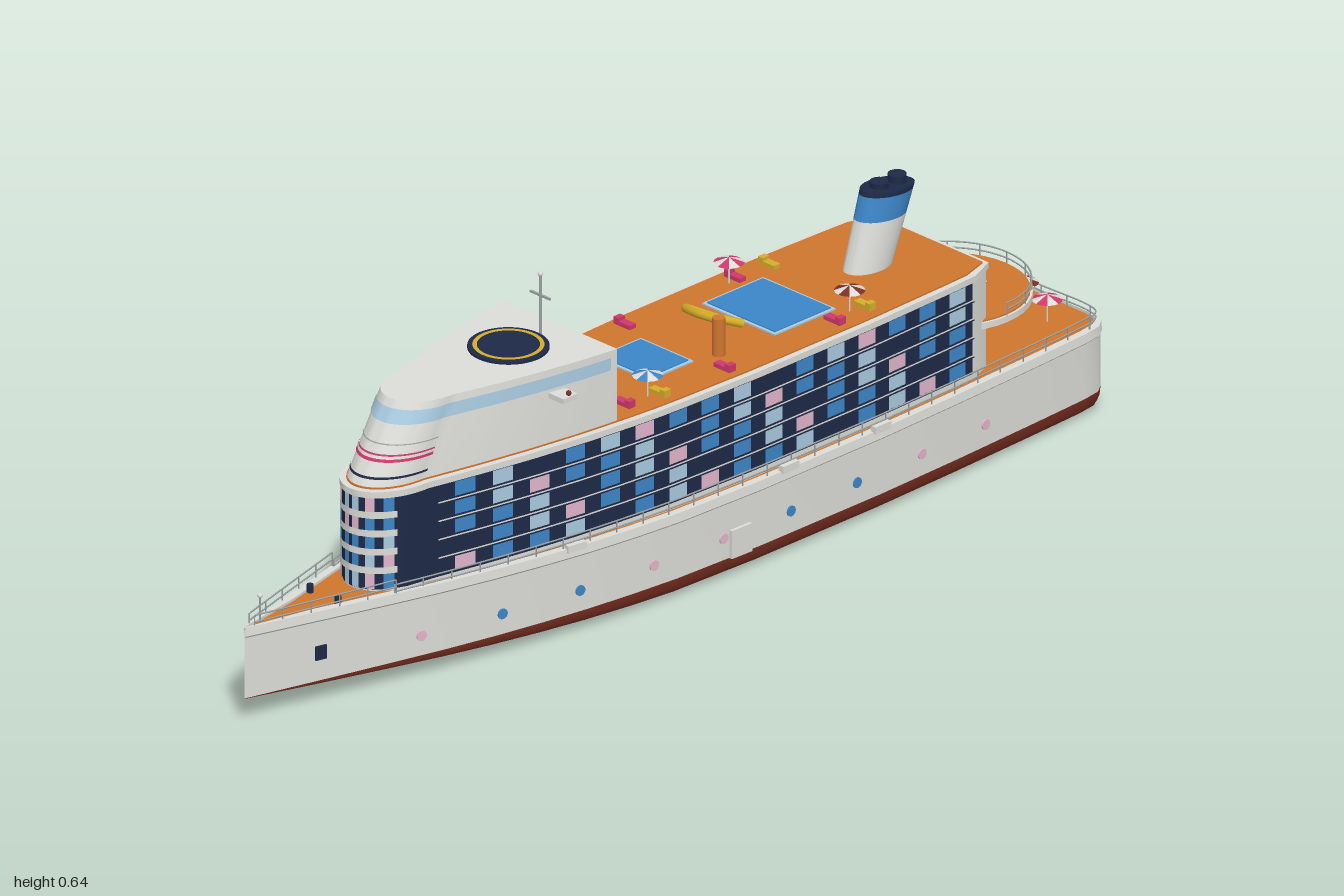
import * as THREE from 'three';
import { mergeGeometries, toCreasedNormals } from 'three/addons/utils/BufferGeometryUtils.js';

const paint = (name, color, side = THREE.FrontSide) => {
  const m = new THREE.MeshStandardMaterial({ color, side });
  m.name = name;
  return m;
};

export function createModel() {
  const ship = new THREE.Group();
  ship.name = 'cruiseShip';
  const white = paint('white', 0xdcdcd8), orange = paint('deckOrange', 0xd0762f), red = paint('keelRed', 0x7c3022);
  const navy = paint('navy', 0x1d2947), blue = paint('blue', 0x3d86c8), sky = paint('lightBlue', 0xa9cbe0);
  const pink = paint('palePink', 0xe2b6cb), magenta = paint('magenta', 0xd0386c), yellow = paint('yellow', 0xd6ae2a);
  const grey = paint('railGrey', 0x9da3a5);

  const add = (name, geo, mat, x = 0, y = 0, z = 0) => {
    const m = new THREE.Mesh(geo, mat);
    m.name = name;
    m.position.set(x, y, z);
    ship.add(m);
    return m;
  };
  const box = (w, h, d) => new THREE.BoxGeometry(w, h, d);
  const cyl = (r, h, n = 24, r0 = r) => new THREE.CylinderGeometry(r, r0, h, n);

  // Skin over a row of equally long sections
  const skin = (sections) => {
    const n = sections[0].length, idx = [];
    for (let i = 0; i < sections.length - 1; i++) for (let j = 0; j < n - 1; j++) {
      const a = i * n + j, b = a + n;
      idx.push(a, b, a + 1, b, b + 1, a + 1);
    }
    const g = new THREE.BufferGeometry();
    g.setAttribute('position', new THREE.Float32BufferAttribute(sections.flat(2), 3));
    g.setIndex(idx);
    g.computeVertexNormals();
    return toCreasedNormals(g, 0.6);
  };
  // Flat slab from a plan outline of [x, z] points
  const slab = (pts, y0, y1) => {
    const s = new THREE.Shape(pts.map(([x, z]) => new THREE.Vector2(x, -z)));
    const g = new THREE.ExtrudeGeometry(s, { depth: y1 - y0, bevelEnabled: false });
    return toCreasedNormals(g.rotateX(-Math.PI / 2).translate(0, y0, 0), 0.6);
  };

  // Hull half-width and height curves along z
  const plan = [[-1, 0.001], [-0.999, 0.12], [-0.99, 0.148], [-0.97, 0.162], [-0.93, 0.168], [-0.8, 0.175], [-0.6, 0.184], [-0.4, 0.19],
    [-0.1, 0.19], [0.1, 0.183], [0.2, 0.174], [0.3, 0.162], [0.4, 0.146], [0.5, 0.127], [0.6, 0.105], [0.7, 0.08], [0.85, 0.041], [1, 0.001]];
  const H = (z) => {
    const i = Math.max(1, plan.findIndex((p) => p[0] >= z));
    const [a, b] = [plan[i - 1], plan[i]];
    return a[1] + (b[1] - a[1]) * (z - a[0]) / (b[0] - a[0]);
  };
  const top = (z) => 0.166 + 0.017 * Math.max(0, z) ** 1.5;
  const water = (z) => 0.043 + 0.006 * Math.max(0, z);
  const keel = (z) => 0.048 * Math.max(0, (z - 0.05) / 0.95) ** 1.3;
  const stations = plan.map((p) => p[0]);

  for (const s of [1, -1]) {
    const sided = (f) => skin(stations.map((z) => { const q = f(z); return s > 0 ? q : q.reverse(); }));
    add('hullSide', sided((z) => [[s * H(z), top(z), z], [s * H(z), water(z), z]]), white);
    add('hullRim', sided((z) => {
      const h = H(z), i = Math.max(0, h - 0.013), t = top(z);
      return [[s * i, t - 0.006, z], [s * i, t + 0.005, z], [s * (h + 0.002), t + 0.005, z],
        [s * (h + 0.004), t - 0.012, z], [s * h, t - 0.016, z]];
    }), white);
  }
  add('keel', skin(stations.map((z) => {
    const k = keel(z), w = water(z), half = [[1, 1], [0.985, 0.6], [0.93, 0.28], [0.84, 0.08], [0.7, 0]];
    const p = half.map(([u, v]) => [u * H(z), k + (w - k) * v, z]);
    return [...p, ...p.map(([x, y]) => [-x, y, z]).reverse()];
  })), red);
  add('mainDeck', skin(stations.map((z) => [[-H(z), top(z), z], [H(z), top(z), z]])), orange);

  // Superstructure outline: t is z along the side, then wraps round the nose
  const nose = 0.62, end = 0.78;
  const edge = (t, s, off = 0) => {
    if (t <= nose) return [s * (H(t) - 0.025 + off - Math.max(0, -0.69 - t) * 0.7), t];
    const a = (t - nose) / (end - nose) * Math.PI / 2;
    return [s * (H(nose) - 0.025 + off) * Math.cos(a), nose + (0.11 + off) * Math.sin(a)];
  };
  const steps = (a, b, n) => Array.from({ length: n + 1 }, (_, i) => a + (b - a) * i / n);
  const wrap = (from, off) => {
    const ts = [...steps(from, nose, 24), ...steps(nose, end, 14).slice(1)];
    return [...ts.map((t) => edge(t, -1, off)), ...ts.reverse().slice(1).map((t) => edge(t, 1, off))];
  };
  const patch = (t0, t1, y0, y1, off, s) => {
    const n = Math.max(2, Math.ceil((t1 - t0) / 0.03));
    const p = steps(t0, t1, n).map((t) => edge(t, s, off));
    if (s > 0) p.reverse();
    return skin([y1, y0].map((y) => p.map(([x, z]) => [x, y, z])));
  };
  add('cabinBlock', slab(wrap(-0.72, 0), 0.165, 0.362), white);
  add('sunDeckRim', slab(wrap(-0.72, 0.006), 0.36, 0.372), white);
  add('sunDeck', slab(wrap(-0.71, -0.006), 0.37, 0.375), orange);

  // Cabin glazing: navy wall, window columns and pale floor strips
  const glass = [[], [], [], []], walls = [], strips = [], ledges = [];
  const rowY = (r) => 0.182 + r * 0.036;
  for (const s of [1, -1]) {
    walls.push(patch(-0.66, end, 0.18, 0.36, 0.002, s));
    for (let r = 0; r < 5; r++) {
      for (let c = 0; c < 16; c++) {
        const z = -0.64 + c * 0.0775;
        glass[[0, 1, 0, 2, 0, 3, 1][(c * 3 + r * 2 + (s > 0 ? 0 : 1)) % 7]].push(patch(z, z + 0.042, rowY(r) + 0.004, rowY(r) + 0.032, 0.004, s));
      }
      [[0.685, 0.705], [0.722, 0.742], [0.758, 0.775]].forEach(([a, b], c) =>
        glass[[0, 2, 1, 0][(c + r) % 4]].push(patch(a, b, rowY(r), rowY(r) + 0.036, 0.004, s)));
      if (r) {
        strips.push(patch(0.68, end, rowY(r) - 0.006, rowY(r) + 0.007, 0.006, s));
        strips.push(patch(-0.66, 0.6, rowY(r) - 0.0015, rowY(r) + 0.0015, 0.006, s));
        ledges.push(patch(-0.66, 0.64, rowY(r) - 0.004, rowY(r) - 0.0015, 0.007, s));
      }
    }
  }
  add('cabinWall', mergeGeometries(walls), navy);
  [blue, sky, pink, navy].forEach((m, i) => add('cabinWindows', mergeGeometries(glass[i]), m));
  add('floorStrips', mergeGeometries(strips), white);
  add('floorLedges', mergeGeometries(ledges), navy);

  // Bridge block with a raked front
  const B0 = 0.21, by = 0.372, bt = 0.515;
  const bridgeRing = (y, off = 0) => {
    const k = 1 - 0.17 * (y - by) / (bt - by);
    return wrap(B0, off - 0.007).map(([x, z]) => [x, y, B0 + (z - B0) * k]);
  };
  const band = (name, y0, y1, mat, cut = 0) => add(name, skin([y1, y0].map((y) => {
    const r = bridgeRing(y, 0.002);
    return r.slice(cut, r.length - cut);
  })), mat);
  add('bridgeBlock', skin([bt, 0.47, 0.42, by].map((y) => bridgeRing(y))), white);
  add('bridgeRoof', slab(bridgeRing(bt).map(([x, , z]) => [x, z]), bt - 0.004, bt), white);
  add('bridgeBack', box(0.28, bt - by, 0.004), white, 0, (by + bt) / 2, B0 + 0.001);
  band('bridgeWindow', 0.478, 0.502, sky, 1);
  band('thinTrim', 0.444, 0.446, grey, 24);
  band('noseStripe', 0.426, 0.429, magenta, 24);
  band('noseStripe', 0.416, 0.421, magenta, 24);
  band('noseStripe', 0.388, 0.392, navy, 24);
  for (let i = 0; i < 5; i++) for (let j = 0; j < 2; j++)
    add('backWindow', box(0.026, 0.009, 0.004), [pink, sky][(i + j) % 2], -0.09 + i * 0.045, 0.42 + j * 0.035, B0 - 0.002);
  for (const s of [1, -1]) {
    add('bridgeWing', box(0.04, 0.01, 0.035), white, s * 0.136, 0.466, 0.34);
    add('wingLamp', new THREE.SphereGeometry(0.005, 12, 8), s > 0 ? red : sky, s * 0.151, 0.476, 0.34);
  }

  // Landing circle and mast
  add('landingDisc', cyl(0.073, 0.005, 40), navy, 0, 0.517, 0.34);
  add('landingRing', new THREE.RingGeometry(0.056, 0.064, 40).rotateX(-Math.PI / 2), yellow, 0, 0.521, 0.34);
  add('mast', cyl(0.003, 0.12, 10), grey, 0, 0.572, 0.26);
  add('mastBar', box(0.05, 0.004, 0.004), grey, 0, 0.59, 0.26);
  add('mastBall', new THREE.SphereGeometry(0.005, 12, 8), white, 0, 0.632, 0.26);

  // Raked funnel
  const funnelRing = (y) => {
    const k = (y - 0.37) / 0.145;
    return steps(0, Math.PI * 2, 28).map((a) => [0.034 * Math.sin(a), y + 0.006 * k * Math.cos(a), -0.555 - 0.05 * k + (0.052 + 0.008 * k) * Math.cos(a)]);
  };
  add('funnelBase', skin([0.465, 0.37].map(funnelRing)), white);
  add('funnelBand', skin([0.508, 0.465].map(funnelRing)), blue);
  add('funnelCap', skin([funnelRing(0.516).map(() => [0, 0.517, -0.605]), funnelRing(0.516), funnelRing(0.508)]), navy);
  for (const z of [-0.585, -0.63]) add('funnelPipe', cyl(0.017, 0.016, 16), navy, 0, 0.522, z);

  // Pools
  for (const [z, w, d] of [[-0.31, 0.17, 0.14], [0, 0.12, 0.1]]) {
    add('poolEdge', box(w + 0.012, 0.006, d + 0.012), sky, 0, 0.375, z);
    add('poolWater', box(w, 0.006, d), blue, 0, 0.377, z);
  }

  // Water slide
  const slide = new THREE.CatmullRomCurve3([[0.075, 0.44, -0.115], [0.01, 0.432, -0.118], [-0.04, 0.415, -0.145], [0, 0.398, -0.18], [0.025, 0.382, -0.22]]
    .map((p) => new THREE.Vector3(...p)));
  add('slideTower', cyl(0.012, 0.075, 16), orange, 0.075, 0.41, -0.11);
  add('slideTube', new THREE.TubeGeometry(slide, 32, 0.008, 10), yellow);

  // Sunshades with alternating panels
  const sunshade = (x, y, z, mat) => {
    add('sunshadePole', cyl(0.0015, 0.045, 6), white, x, y + 0.022, z);
    for (let i = 0; i < 8; i++)
      add('sunshadePanel', new THREE.ConeGeometry(0.028, 0.01, 2, 1, false, i * Math.PI / 4, Math.PI / 4), i % 2 ? white : mat, x, y + 0.048, z);
  };
  for (const [x, y, z, m] of [[-0.12, 0.373, -0.33, magenta], [0.112, 0.373, -0.4, red], [0.108, 0.373, 0.1, blue], [-0.1, 0.373, 0.18, yellow],
    [-0.08, 0.168, -0.94, sky], [0, 0.168, -0.945, red], [0.08, 0.168, -0.925, magenta], [-0.08, 0.262, -0.735, yellow], [0.075, 0.262, -0.74, magenta]])
    sunshade(x, y, z, m);

  // Loungers
  for (const [z, x] of [[-0.43, 0.12], [-0.35, 0.125], [-0.075, 0.125], [0.08, 0.118], [0.155, 0.105]]) for (const s of [1, -1]) {
    const m = z === -0.43 || z === 0.08 || (z > 0.1 && s < 0) ? yellow : magenta;
    add('lounger', box(0.04, 0.008, 0.016), m, s * x, 0.38, z);
    add('loungerHead', box(0.012, 0.014, 0.016), m, s * (x + 0.014), 0.383, z);
  }

  // Railings
  const railing = (pts, y, h, levels = 2) => {
    const path = new THREE.CatmullRomCurve3(pts.map(([x, z]) => new THREE.Vector3(x, 0, z)), false, 'centripetal');
    const g = [];
    for (let i = 1; i <= levels; i++) g.push(new THREE.TubeGeometry(path, 80, 0.0016, 5).translate(0, y + h * i / levels, 0));
    const n = Math.round(path.getLength() / 0.06);
    for (const p of path.getSpacedPoints(n)) g.push(cyl(0.0014, h, 5).translate(p.x, y + h / 2, p.z));
    add('railing', mergeGeometries(g), grey);
  };
  for (const s of [1, -1]) {
    railing(steps(-0.95, 0.7, 24).map((z) => [s * (H(z) - 0.004), z]), 0.17, 0.026);
    railing(steps(0.7, 0.98, 4).map((z) => [s * H(z), z]), 0.18, 0.027);
  }
  railing([[-0.16, -0.95], [-0.14, -0.985], [0, -0.99], [0.14, -0.985], [0.16, -0.95]], 0.168, 0.022);

  // Aft terrace
  const oval = (r) => steps(Math.PI * 2, 0, 40).slice(1).map((a) => [r * 0.152 * Math.cos(a), -0.755 - r * 0.152 * Math.sin(a)]);
  add('terrace', slab(oval(1), 0.248, 0.26), white);
  add('terraceDeck', slab(oval(0.97), 0.258, 0.263), orange);
  railing(steps(0, Math.PI, 16).map((a) => [0.149 * Math.cos(a), -0.755 - 0.149 * Math.sin(a)]), 0.26, 0.024);

  // Hull fittings
  for (const s of [1, -1]) {
    const onHull = (name, geo, mat, y, z) => {
      const slope = Math.atan((H(z + 0.02) - H(z - 0.02)) / 0.04);
      add(name, geo, mat, s * (H(z) + 0.001), y, z).rotation.y = s * slope;
    };
    for (let i = 0; i < 9; i++)
      onHull('porthole', cyl(0.01, 0.004, 16).rotateZ(Math.PI / 2), [pink, blue, blue, pink][i % 4], 0.086, 0.65 - i * 0.165);
    onHull('anchorPocket', box(0.005, 0.027, 0.022), navy, 0.103, 0.85);
    onHull('sideDoor', box(0.01, 0.055, 0.05), white, 0.07, -0.05);
    for (const z of [-0.4, -0.17, 0.33]) onHull('boardingStep', box(0.012, 0.014, 0.04), white, 0.175, z);
    add('bollard', cyl(0.006, 0.016, 10), navy, s * 0.035, 0.186, 0.8);
  }
  add('jackstaff', cyl(0.0018, 0.06, 6), grey, 0, 0.206, 0.96);
  add('jackstaffBall', new THREE.SphereGeometry(0.005, 12, 8), white, 0, 0.237, 0.96);
  return ship;
}
